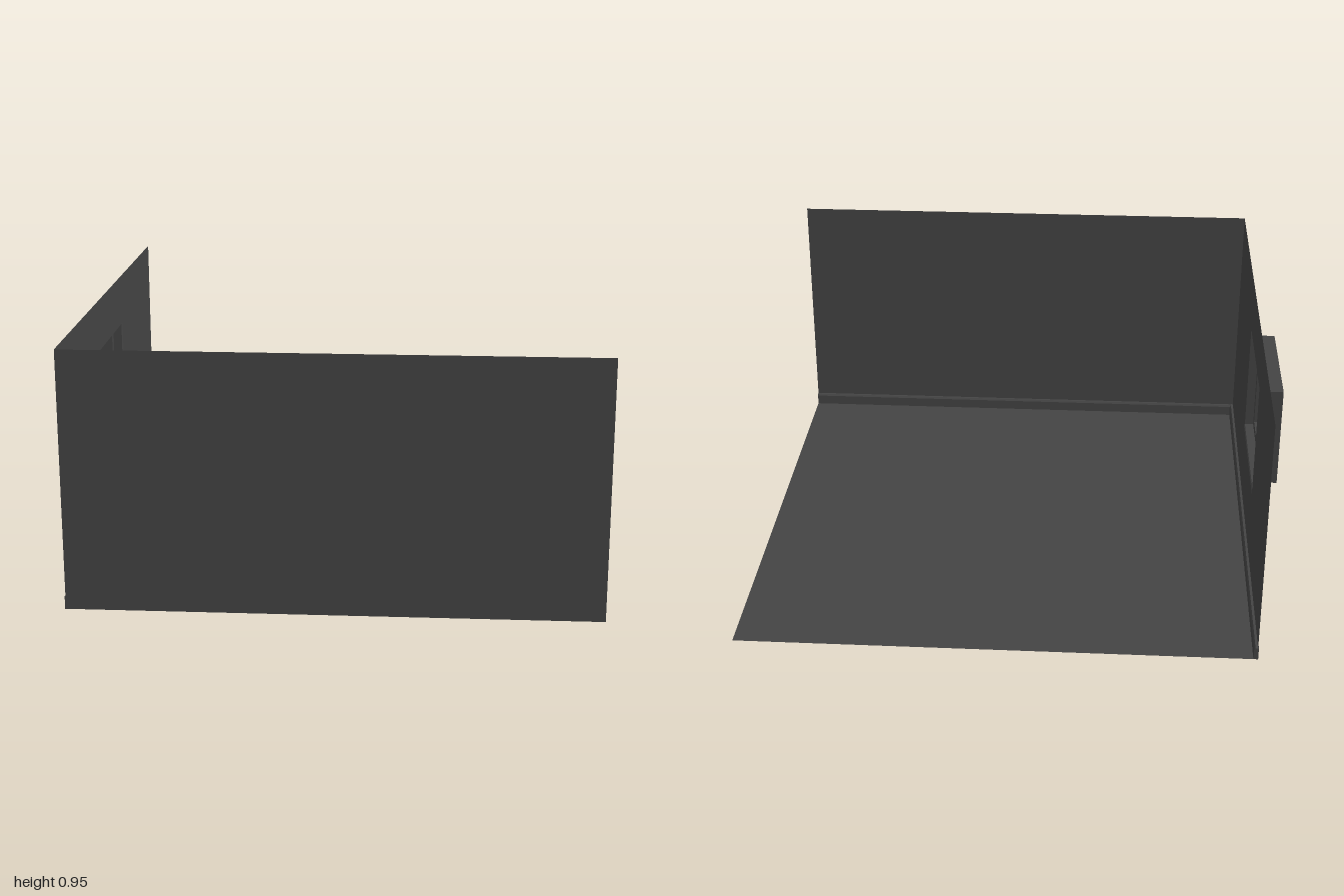
import * as THREE from 'three';

const X0 = -0.905, X1 = 1, Z = 0.953, H = 0.95; // room extents
const WIN_Y = 0.525; // height of the window centre

const material = new THREE.MeshStandardMaterial({ color: 0x444444, side: THREE.DoubleSide, flatShading: true });

function part(name, geometry) {
  const mesh = new THREE.Mesh(geometry, material);
  mesh.name = name;
  return mesh;
}

// Stepped rectangular tunnel along x; each ring is [x, half width in z, half height]
function steppedTunnel(rings) {
  const corners = [[-1, -1], [1, -1], [1, 1], [-1, 1]];
  const positions = [], index = [];
  rings.forEach(([x, w, h], r) => {
    corners.forEach(([sz, sy]) => positions.push(x, WIN_Y + sy * h, sz * w));
    if (r === 0) return;
    for (let i = 0; i < 4; i++) {
      const j = (i + 1) % 4, a = (r - 1) * 4, b = r * 4;
      index.push(a + i, b + i, a + j, a + j, b + i, b + j);
    }
  });
  const g = new THREE.BufferGeometry();
  g.setAttribute('position', new THREE.Float32BufferAttribute(positions, 3));
  g.setIndex(index);
  const flat = g.toNonIndexed();
  flat.computeVertexNormals();
  return flat;
}

// Skirting profile: upright strip with a chamfered top edge, run along z
function skirting(back, front, length) {
  const s = new THREE.Shape();
  s.moveTo(back, 0);
  s.lineTo(front, 0);
  s.lineTo(front, 0.04);
  s.lineTo(front - 0.005, 0.047);
  s.lineTo(back, 0.047);
  s.closePath();
  return new THREE.ExtrudeGeometry(s, { depth: length, bevelEnabled: false });
}

export function createModel() {
  const room = new THREE.Group();
  room.name = 'roomCorner';
  const width = X1 - X0, midX = (X0 + X1) / 2;

  // Floor sheet
  const floor = new THREE.PlaneGeometry(width, 2 * Z);
  floor.rotateX(-Math.PI / 2).translate(midX, 0, 0);
  room.add(part('floor', floor));

  // Plain front wall
  const front = new THREE.PlaneGeometry(width, H);
  front.translate(midX, H / 2, Z);
  room.add(part('frontWall', front));

  // Side wall with the window opening
  const shape = new THREE.Shape();
  shape.moveTo(-Z, 0).lineTo(Z, 0).lineTo(Z, H).lineTo(-Z, H).closePath();
  const hole = new THREE.Path(), hw = 0.289, hh = 0.229;
  hole.moveTo(-hw, WIN_Y - hh).lineTo(-hw, WIN_Y + hh).lineTo(hw, WIN_Y + hh).lineTo(hw, WIN_Y - hh).closePath();
  shape.holes.push(hole);
  const side = new THREE.ShapeGeometry(shape);
  side.rotateY(Math.PI / 2).translate(X0, 0, 0);
  room.add(part('windowWall', side));

  // Window reveal stepping outwards through the wall
  room.add(part('windowFrame', steppedTunnel([
    [X0, 0.289, 0.229],
    [X0 - 0.004, 0.284, 0.225],
    [-0.943, 0.284, 0.225],
    [-0.943, 0.25, 0.196],
    [-1, 0.25, 0.196],
  ])));

  // Skirting boards
  const sideSkirting = part('sideSkirting', skirting(-0.003, 0.014, 2 * Z));
  sideSkirting.position.set(X0, 0, -Z);
  room.add(sideSkirting);
  const frontSkirting = part('frontSkirting', skirting(0.001, 0.015, width));
  frontSkirting.rotation.y = Math.PI / 2;
  frontSkirting.position.set(X0, 0, Z);
  room.add(frontSkirting);

  return room;
}
